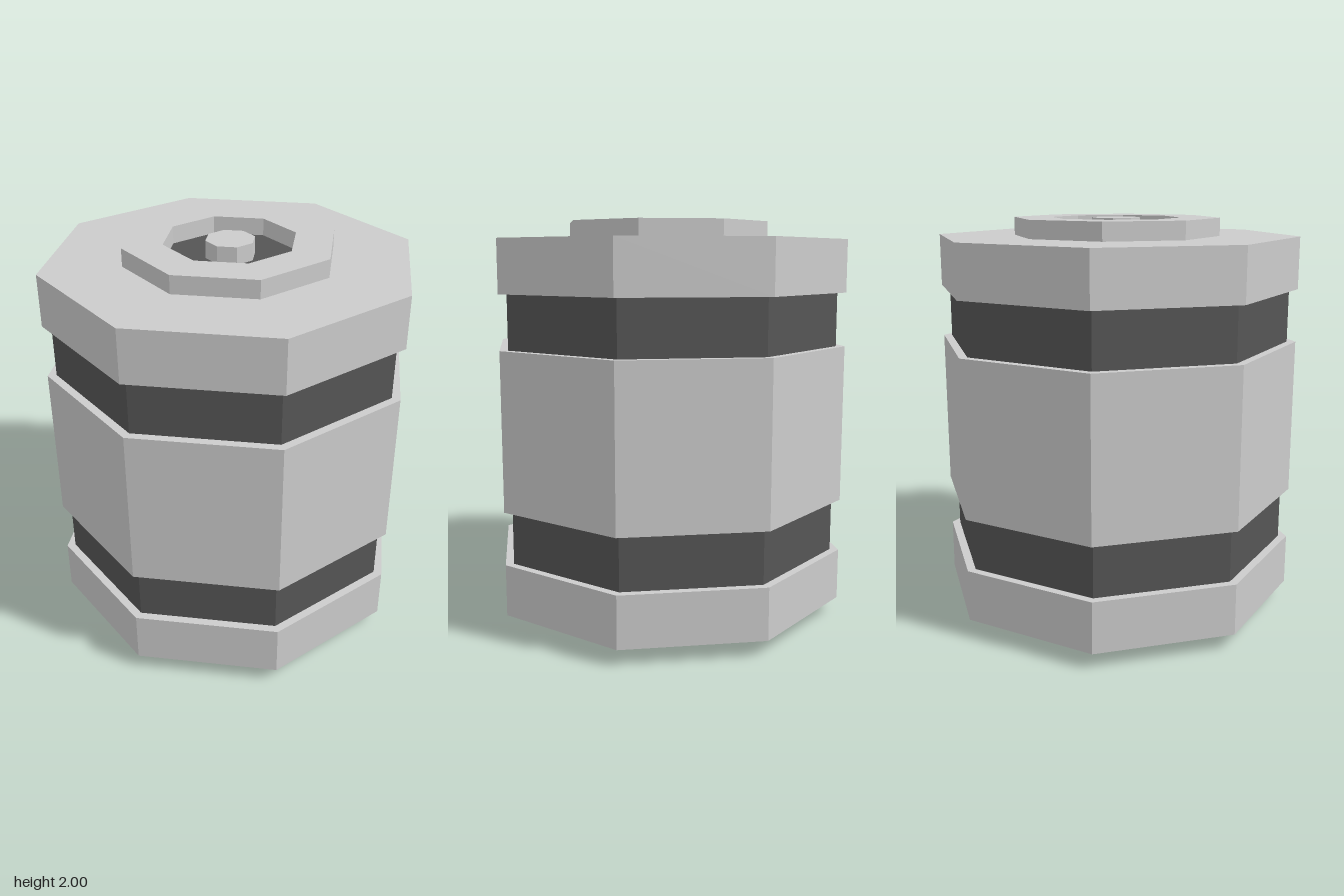
import * as THREE from 'three';

const paint = (color) => new THREE.MeshStandardMaterial({ color, flatShading: true });
const light = paint(0xcccccc);
const dark = paint(0x555555);
const mid = paint(0x8b8b8b);
const yellow = paint(0xf7d000);

// Corners of an octagon with flats facing the axes, given centre-to-flat distance
function octagon(flat) {
  const r = flat / Math.cos(Math.PI / 8);
  return Array.from({ length: 8 }, (_, i) => {
    const a = (i + 0.5) * Math.PI / 4;
    return new THREE.Vector2(r * Math.cos(a), r * Math.sin(a));
  });
}

// Tapered contact outline, wide on its outer edge, turned to the given angle
function contact(angle, inset = 0) {
  const inner = 0.34 + inset, outer = 0.435 - inset, wi = 0.085 - inset, wo = 0.13 - inset;
  return [[inner, -wi], [outer, -wo], [outer, wo], [inner, wi]].map(([x, y]) =>
    new THREE.Vector2(x, y).rotateAround(new THREE.Vector2(), angle));
}

// Upright prism between two heights, with optional holes
function prism(name, outline, y0, y1, material, holes = []) {
  const shape = new THREE.Shape(outline);
  holes.forEach((h) => shape.holes.push(new THREE.Path(h)));
  const geometry = new THREE.ExtrudeGeometry(shape, { depth: y1 - y0, bevelEnabled: false });
  geometry.rotateX(-Math.PI / 2).translate(0, y0, 0);
  const mesh = new THREE.Mesh(geometry, material);
  mesh.name = name;
  return mesh;
}

export function createModel() {
  const model = new THREE.Group();
  model.name = 'canister';

  // Body: light shells separated by recessed dark bands
  const body = [
    ['bottomShell', 0.845, 0.08, 0.337, light],
    ['lowerBand', 0.805, 0.337, 0.602, dark],
    ['middleShell', 0.845, 0.602, 1.387, light],
    ['upperBand', 0.805, 1.387, 1.652, dark],
    ['topShell', 0.845, 1.652, 1.911, light],
  ];
  body.forEach(([name, flat, y0, y1, mat]) => model.add(prism(name, octagon(flat), y0, y1, mat)));

  // Top socket: collar, dark floor and central pin
  model.add(prism('topCollar', octagon(0.48), 1.911, 2, light, [octagon(0.3)]));
  model.add(prism('socketFloor', octagon(0.3), 1.9, 1.914, dark));
  model.add(prism('centrePin', octagon(0.112), 1.911, 2, light));

  // Bottom collar, with pockets on the four axis sides
  const axes = [0, 1, 2, 3].map((i) => i * Math.PI / 2);
  const pockets = axes.map((a) => contact(a));
  model.add(prism('bottomCollar', octagon(0.48), 0.034, 0.08, mid, [octagon(0.3), ...pockets]));

  // Contacts: recessed on the axes, raised on the diagonals
  for (const a of axes) {
    model.add(prism('pocketLining', contact(a), 0.034, 0.064, yellow, [contact(a, 0.003)]));
    model.add(prism('pocketFloor', contact(a), 0.064, 0.08, yellow));
    model.add(prism('raisedContact', contact(a + Math.PI / 4), 0, 0.034, yellow));
  }
  return model;
}
